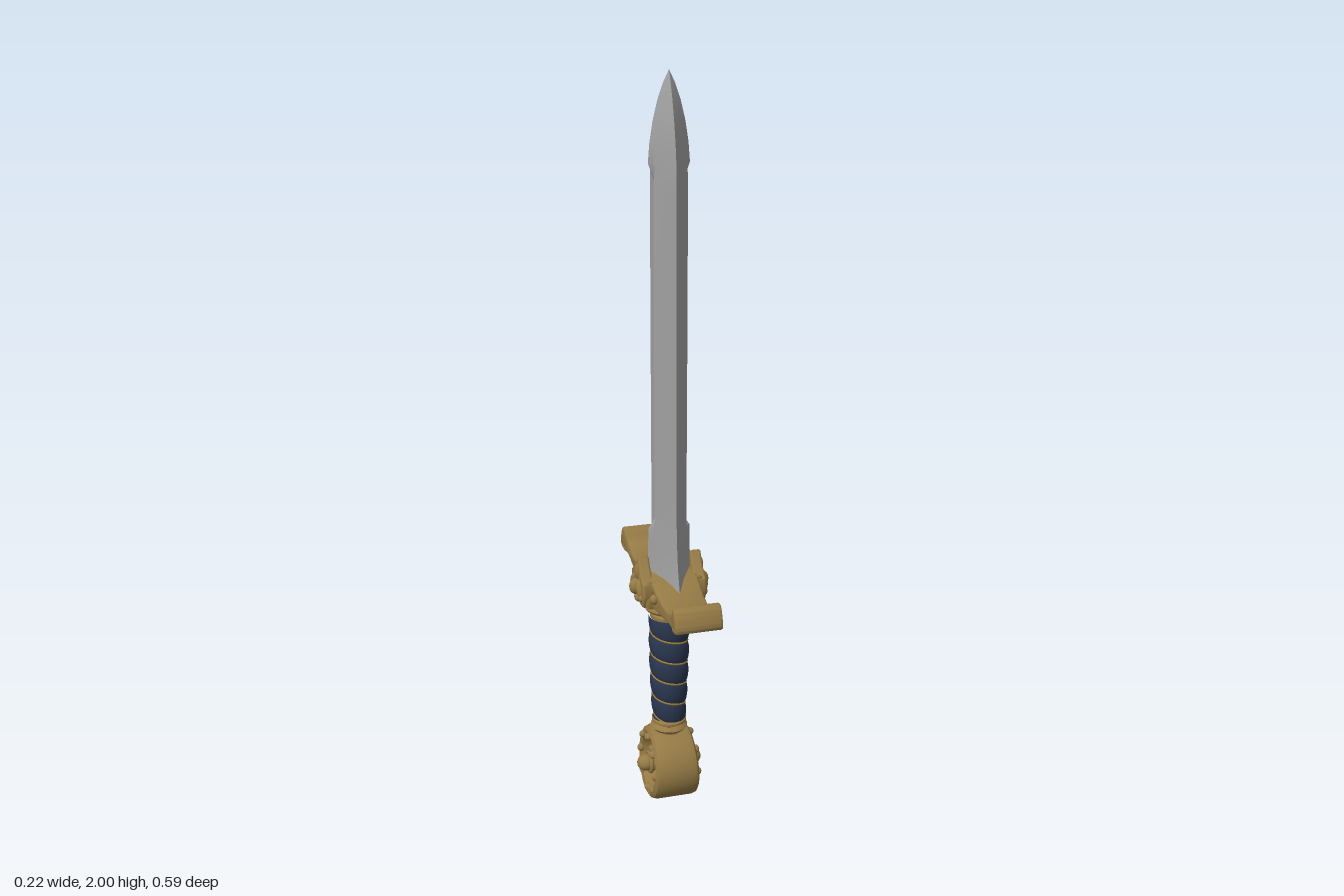
import * as THREE from 'three';
import { toCreasedNormals } from 'three/addons/utils/BufferGeometryUtils.js';

const mat = (name, color) => new THREE.MeshStandardMaterial({ name, color });

// Move every vertex of a geometry by a rule
function warp(geo, rule) {
  const p = geo.attributes.position, v = new THREE.Vector3();
  for (let i = 0; i < p.count; i++) {
    rule(v.fromBufferAttribute(p, i));
    p.setXYZ(i, v.x, v.y, v.z);
  }
  geo.computeVertexNormals();
  return geo;
}

// Extrude a (z, y) outline along x, centred on x = 0
function sideExtrude(shape, half, bevel) {
  const depth = 2 * (half - bevel);
  return new THREE.ExtrudeGeometry(shape, {
    depth, bevelThickness: bevel, bevelSize: bevel, bevelOffset: -bevel, bevelSegments: 3, curveSegments: 10,
  }).translate(0, 0, -depth / 2).rotateY(-Math.PI / 2);
}

// Diamond blade with a fuller sunk into both ridges
function bladeGeometry() {
  // y, half width z, half thickness x, fuller depth
  const rows = [
    [0.66, 0.114, 0.062, 0], [0.69, 0.103, 0.06, 0], [0.73, 0.091, 0.058, 0], [0.78, 0.083, 0.057, 0],
    [0.82, 0.079, 0.056, 0], [0.85, 0.077, 0.056, 1], [0.93, 0.073, 0.057, 1], [1.3, 0.07, 0.058, 1],
    [1.73, 0.07, 0.058, 1], [1.78, 0.069, 0.053, 0], [1.83, 0.061, 0.049, 0], [1.88, 0.049, 0.041, 0],
    [1.93, 0.033, 0.029, 0], [1.97, 0.016, 0.015, 0], [2, 0.0005, 0.0005, 0],
  ];
  const pos = [], idx = [], n = 12;
  for (const [y, Z, X, g] of rows) {
    const f = Math.min(0.018, Z * 0.25), at = z => X * (1 - z / Z);
    const r = at(f), s = f * 0.75, floor = r - 0.012;
    const i = g ? floor : at(s), c = g ? floor : X;
    const ring = [[0, Z], [r, f], [i, s], [c, 0], [i, -s], [r, -f],
      [0, -Z], [-r, -f], [-i, -s], [-c, 0], [-i, s], [-r, f]];
    for (const [x, z] of ring) pos.push(x, y, z);
  }
  for (let k = 0; k < rows.length - 1; k++) {
    for (let j = 0; j < n; j++) {
      const a = k * n + j, b = k * n + (j + 1) % n;
      idx.push(a, b, b + n, a, b + n, a + n);
    }
  }
  const geo = new THREE.BufferGeometry();
  geo.setAttribute('position', new THREE.Float32BufferAttribute(pos, 3));
  geo.setIndex(idx);
  return toCreasedNormals(geo, 0.4);
}

export function createModel() {
  const root = new THREE.Group();
  root.name = 'sword';
  const steel = mat('steel', 0xa0a0a0);
  const gold = mat('antiqueGold', 0x957a45);
  const leather = mat('navyLeather', 0x2a3750);
  const wireGold = mat('wireGold', 0xa08038);
  const add = (name, geo, material, parent = root) => {
    const m = new THREE.Mesh(geo, material);
    m.name = name;
    parent.add(m);
    return m;
  };
  const ball = (name, parent, x, y, z, rx, ry = rx, rz = rx) => {
    const m = add(name, new THREE.SphereGeometry(1, 20, 14), gold, parent);
    m.position.set(x, y, z);
    m.scale.set(rx, ry, rz);
    return m;
  };

  add('blade', bladeGeometry(), steel);

  // Crossguard: arms sweep up to flared, rolled ends
  const guard = new THREE.Group();
  guard.name = 'crossguard';
  root.add(guard);
  const arms = new THREE.Shape();
  arms.moveTo(0, 0.612);
  arms.splineThru([[0.08, 0.618], [0.16, 0.63], [0.23, 0.64], [0.285, 0.646], [0.296, 0.66],
    [0.288, 0.688], [0.275, 0.707], [0.26, 0.71], [0.248, 0.698], [0.228, 0.678], [0.18, 0.666],
    [0.11, 0.672], [0.06, 0.69], [0, 0.7]].map(p => new THREE.Vector2(...p)));
  const right = arms.getPoints(5).filter((p, i, all) => !i || p.distanceTo(all[i - 1]) > 1e-5);
  const left = right.slice(1, -1).reverse().map(p => new THREE.Vector2(-p.x, p.y));
  const armGeo = warp(sideExtrude(new THREE.Shape([...right, ...left]), 0.063, 0.006), v => {
    const z = Math.abs(v.z);
    const flare = THREE.MathUtils.smoothstep(z, 0.225, 0.265);
    v.x *= THREE.MathUtils.lerp(1.06 - 0.75 * z, 1, flare);
  });
  add('guardArms', toCreasedNormals(armGeo, 0.7), gold, guard);

  const block = new THREE.Shape([[-0.06, 0.61], [0.06, 0.61], [0.068, 0.64], [0.06, 0.69],
    [-0.06, 0.69], [-0.068, 0.64]].map(p => new THREE.Vector2(...p)));
  add('guardBlock', toCreasedNormals(sideExtrude(block, 0.08, 0.012), 0.7), gold, guard);

  // Pointed shields and floral bosses on both broad sides
  const shieldShape = new THREE.Shape([[-0.05, 0.612], [0.05, 0.612], [0.068, 0.65], [0.062, 0.682],
    [0.03, 0.702], [0, 0.742], [-0.03, 0.702], [-0.062, 0.682], [-0.068, 0.65]].map(p => new THREE.Vector2(...p)));
  for (const s of [1, -1]) {
    const shield = add('guardShield', toCreasedNormals(sideExtrude(shieldShape, 0.016, 0.007), 0.7), gold, guard);
    shield.position.x = s * 0.072;
    ball('guardBoss', guard, s * 0.09, 0.655, 0, 0.02, 0.024, 0.016);
    ball('guardUpperPetal', guard, s * 0.086, 0.697, 0, 0.009, 0.024, 0.011);
    ball('guardLowerPetal', guard, s * 0.086, 0.622, 0, 0.01, 0.012, 0.016);
    for (const t of [1, -1]) {
      const petal = ball('guardSidePetal', guard, s * 0.087, 0.66, t * 0.032, 0.012, 0.026, 0.01);
      petal.rotation.x = -t * 0.4;
      ball('guardBead', guard, s * 0.086, 0.637, t * 0.042, 0.01);
      ball('guardArmBead', guard, s * 0.062, 0.648, t * 0.08, 0.012, 0.014, 0.012);
    }
  }

  // Turned collars above and below the grip
  const lathe = (name, pts) => add(name,
    toCreasedNormals(new THREE.LatheGeometry(pts.map(p => new THREE.Vector2(...p)), 40), 0.6), gold);
  lathe('upperCollar', [[0, 0.55], [0.044, 0.55], [0.051, 0.556], [0.051, 0.566], [0.045, 0.572], [0.05, 0.578],
    [0.065, 0.582], [0.07, 0.59], [0.066, 0.598], [0.058, 0.602], [0.06, 0.618], [0, 0.618]]);
  lathe('lowerCollar', [[0, 0.195], [0.036, 0.195], [0.036, 0.207], [0.046, 0.212], [0.051, 0.219], [0.046, 0.226],
    [0.041, 0.23], [0.048, 0.235], [0.048, 0.242], [0.04, 0.247], [0, 0.247]]);

  // Leather grip with spiral ridges and a wire laid in the groove
  const y0 = 0.24, y1 = 0.558, turns = 5;
  const gripRadius = t => 0.039 + 0.009 * Math.sin(Math.min(1, t * 1.25) * Math.PI / 2);
  const spiral = t => -turns * 2 * Math.PI * t;
  add('grip', warp(new THREE.CylinderGeometry(1, 1, y1 - y0, 48, 100, true).translate(0, (y0 + y1) / 2, 0), v => {
    const t = (v.y - y0) / (y1 - y0), a = Math.atan2(v.x, v.z);
    const r = gripRadius(t) + 0.0075 * Math.sqrt(Math.abs(Math.sin((a - spiral(t)) / 2)));
    v.x = r * Math.sin(a);
    v.z = r * Math.cos(a);
  }), leather);
  const wirePts = [];
  for (let i = 0; i <= 120; i++) {
    const t = 0.02 + 0.96 * i / 120, r = gripRadius(t) + 0.002, a = spiral(t);
    wirePts.push(new THREE.Vector3(r * Math.sin(a), y0 + t * (y1 - y0), r * Math.cos(a)));
  }
  add('gripWire', new THREE.TubeGeometry(new THREE.CatmullRomCurve3(wirePts), 300, 0.003, 6), wireGold);

  // Wheel pommel, its axle along x
  const pommel = new THREE.Group();
  pommel.name = 'pommel';
  pommel.position.y = 0.104;
  root.add(pommel);
  const rim = [[0.072, -0.05], [0.076, -0.06], [0.09, -0.063], [0.1, -0.057], [0.104, -0.045], [0.104, 0.045],
    [0.1, 0.057], [0.09, 0.063], [0.076, 0.06], [0.072, 0.05], [0.072, -0.05]];
  const rimGeo = new THREE.LatheGeometry(rim.map(p => new THREE.Vector2(...p)), 56).rotateZ(Math.PI / 2);
  add('pommelRim', toCreasedNormals(warp(rimGeo, v => { v.x *= 1 - 0.8 * v.y; }), 0.6), gold, pommel);
  add('pommelHub', new THREE.CylinderGeometry(0.026, 0.026, 0.12, 28).rotateZ(Math.PI / 2), gold, pommel);
  for (const s of [1, -1]) {
    ball('pommelBoss', pommel, s * 0.065, 0, 0, 0.027, 0.024, 0.024);
    const ring = add('pommelHubRing', new THREE.TorusGeometry(0.027, 0.006, 10, 32).rotateY(Math.PI / 2), gold, pommel);
    ring.position.x = s * 0.056;
  }
  for (let i = 0; i < 8; i++) {
    const spoke = new THREE.Group();
    spoke.name = 'pommelSpoke';
    spoke.rotation.x = i * Math.PI / 4;
    pommel.add(spoke);
    add('spokeBar', new THREE.CylinderGeometry(0.011, 0.008, 0.056, 12).scale(4, 1, 1), gold, spoke).position.y = 0.048;
    for (const s of [1, -1]) ball('rimBead', spoke, s * 0.06, 0.081, 0, 0.011, 0.01, 0.012);
  }
  return root;
}
